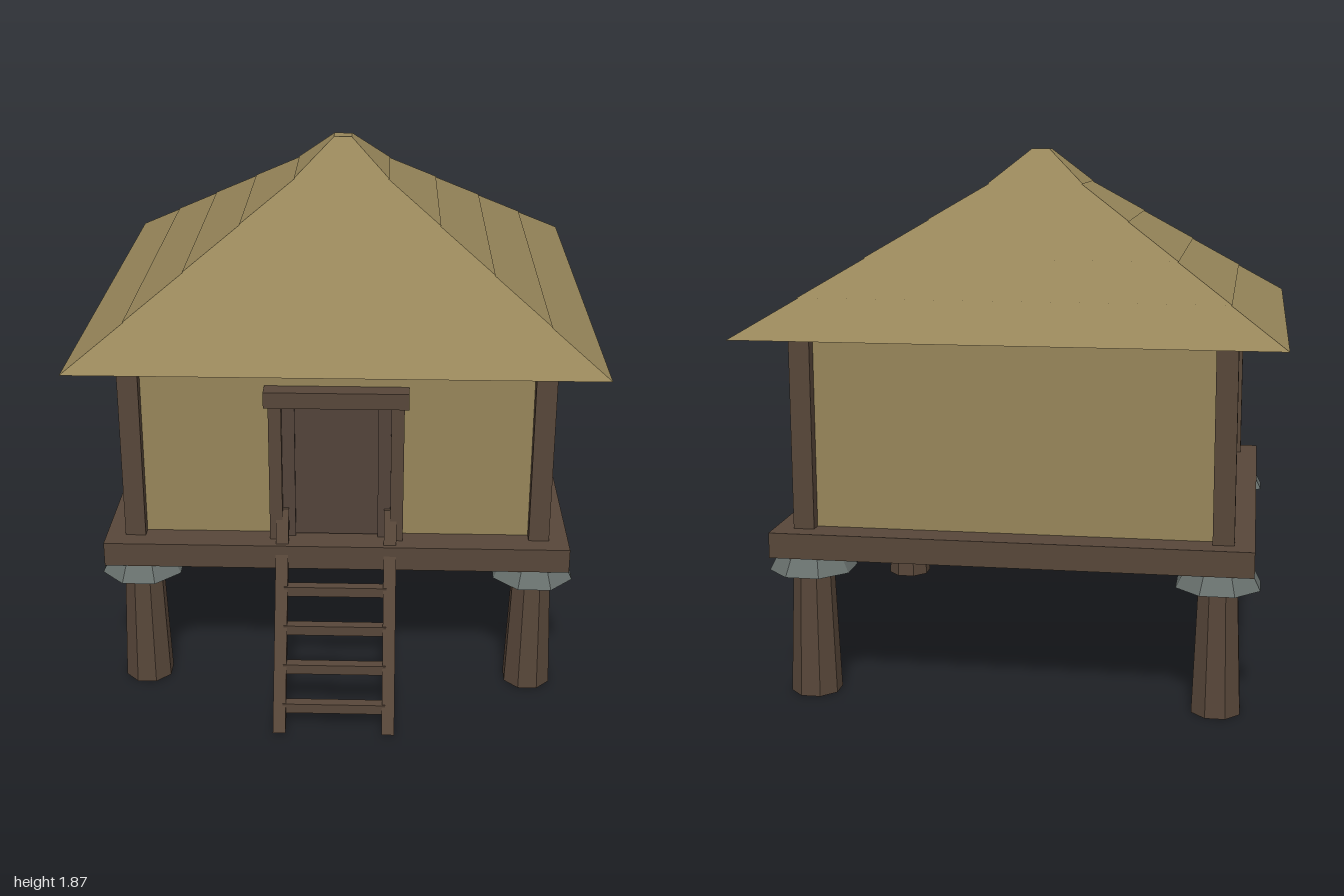
import * as THREE from 'three';

const material = (name, color) =>
  Object.assign(new THREE.MeshStandardMaterial({ color, flatShading: true }), { name });

export function createModel() {
  const thatch = material('thatch', 0x968559);
  const wood = material('dark wood', 0x574639);
  const doorWood = material('door wood', 0x52433a);
  const stone = material('grey stone', 0x69716e);

  const model = new THREE.Group();
  model.name = 'stiltHouse';
  // The house sits slightly behind the centre, leaving room for the ladder.
  const house = new THREE.Group();
  house.name = 'house';
  house.position.z = -0.087;
  model.add(house);

  const add = (parent, name, geometry, mat, x, y, z) => {
    const mesh = new THREE.Mesh(geometry, mat);
    mesh.name = name;
    mesh.position.set(x, y, z);
    parent.add(mesh);
    return mesh;
  };
  // Box given by its horizontal centre and its bottom and top heights
  const box = (parent, name, mat, w, d, x, y0, y1, z) =>
    add(parent, name, new THREE.BoxGeometry(w, y1 - y0, d), mat, x, (y0 + y1) / 2, z);
  // Flat-fronted tapered prism; radii are measured to the flat sides
  const prism = (parent, name, mat, sides, bottom, top, x, y0, y1, z) => {
    const k = 1 / Math.cos(Math.PI / sides);
    const g = new THREE.CylinderGeometry(top * k, bottom * k, y1 - y0, sides);
    g.rotateY(Math.PI / sides);
    return add(parent, name, g, mat, x, (y0 + y1) / 2, z);
  };

  // Stilts with stone collars, and the corner posts above them
  for (const sx of [-1, 1]) {
    for (const sz of [-1, 1]) {
      prism(house, 'stilt', wood, 8, 0.082, 0.065, sx * 0.7, 0, 0.46, sz * 0.7);
      prism(house, 'stoneCollar', stone, 8, 0.14, 0.11, sx * 0.7, 0.445, 0.506, sz * 0.7);
      box(house, 'cornerPost', wood, 0.072, 0.072, sx * 0.716, 0.59, 1.27, sz * 0.716);
    }
  }

  // Floor and walls
  box(house, 'floor', wood, 1.64, 1.64, 0, 0.506, 0.594, 0);
  box(house, 'walls', thatch, 1.42, 1.42, 0, 0.594, 1.252, 0);

  // Door with its frame
  box(house, 'door', doorWood, 0.3, 0.04, 0, 0.6, 1.1, 0.71);
  for (const s of [-1, 1]) {
    box(house, 'doorStop', doorWood, 0.046, 0.05, s * 0.168, 0.594, 1.1, 0.715);
    box(house, 'doorJamb', wood, 0.045, 0.08, s * 0.212, 0.594, 1.1, 0.727);
  }
  box(house, 'lintel', wood, 0.5, 0.09, 0, 1.1, 1.158, 0.73);

  // Four overlapping thatch layers and a steeper cap
  const half = (i) => 0.91 - 0.184 * i;
  const level = (i) => 1.267 + 0.121 * i;
  for (let i = 0; i < 4; i++) {
    prism(house, 'roofLayer', thatch, 4, half(i), half(i + 1) - 0.005, 0, level(i), level(i + 1), 0);
  }
  prism(house, 'roofCap', thatch, 4, half(4), 0.033, 0, level(4), 1.874, 0);

  // Ladder: leaning rails cut level at the ends, with four rungs between
  const ladder = new THREE.Group();
  ladder.name = 'ladder';
  model.add(ladder);
  const lean = 0.478;
  const top = 0.705;
  const profile = new THREE.Shape([
    new THREE.Vector2(-1, 0),
    new THREE.Vector2(-0.957, 0),
    new THREE.Vector2(-0.957 + lean * top, top),
    new THREE.Vector2(-1 + lean * top, top),
  ]);
  const railGeometry = new THREE.ExtrudeGeometry(profile, { depth: 0.044, bevelEnabled: false });
  railGeometry.translate(0, 0, -0.022).rotateY(Math.PI / 2);
  // After the turn the profile's x axis runs towards -z
  for (const s of [-1, 1]) add(ladder, 'rail', railGeometry, wood, s * 0.19, 0, 0);
  for (let i = 0; i < 4; i++) {
    const y = 0.075 + 0.122 * i;
    box(ladder, 'rung', wood, 0.36, 0.035, 0, y - 0.018, y + 0.018, 0.978 - lean * y);
  }
  return model;
}
